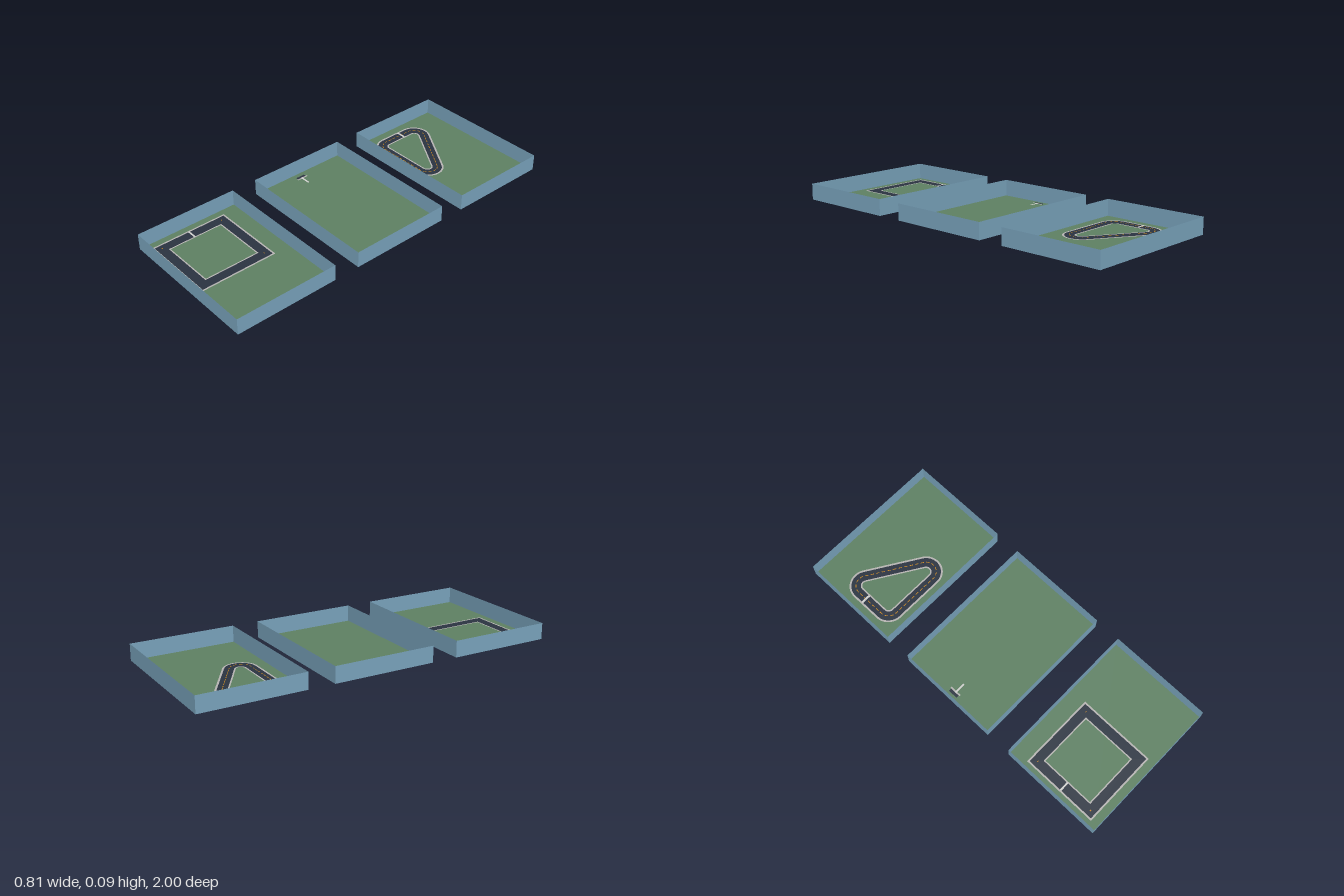
import * as THREE from 'three';

const mat = (name, color, side = THREE.FrontSide) => {
  const m = new THREE.MeshStandardMaterial({ color, side });
  m.name = name;
  return m;
};

export function createModel() {
  const root = new THREE.Group();
  const wallBlue = mat('wall blue', 0x7ba6bf, THREE.DoubleSide);
  const grass = mat('grass green', 0x5f8264, THREE.DoubleSide);
  const asphalt = mat('asphalt', 0x2b3442);
  const kerb = mat('kerb grey', 0xb8b6b4);
  const line = mat('start line white', 0xd2d2d0);
  const orange = mat('dash orange', 0xd08a1c);

  const W = 0.814, D = 0.57, H = 0.09;

  const add = (parent, name, geometry, material, x = 0, y = 0, z = 0) => {
    const mesh = new THREE.Mesh(geometry, material);
    mesh.name = name;
    mesh.position.set(x, y, z);
    parent.add(mesh);
    return mesh;
  };

  // Flat marking given by its x and z limits
  const patch = (parent, name, material, x0, x1, z0, z1, y) =>
    add(parent, name, new THREE.PlaneGeometry(x1 - x0, z1 - z0).rotateX(-Math.PI / 2),
      material, (x0 + x1) / 2, y, (z0 + z1) / 2);

  // Flat ring between two outlines, laid on the ground
  const ring = (parent, name, material, outer, inner, y) => {
    outer.holes.push(inner);
    add(parent, name, new THREE.ShapeGeometry(outer, 16).rotateX(-Math.PI / 2), material, 0, y, 0);
  };

  // Open tray: ground and four thin walls
  const tray = (name, z) => {
    const g = new THREE.Group();
    g.name = name;
    root.add(g);
    patch(g, 'ground', grass, -W / 2, W / 2, z - D / 2, z + D / 2, 0);
    for (const s of [-1, 1]) {
      add(g, s > 0 ? 'frontWall' : 'backWall', new THREE.PlaneGeometry(W, H)
        .rotateY(s > 0 ? 0 : Math.PI), wallBlue, 0, H / 2, z + s * D / 2);
      add(g, s > 0 ? 'leftWall' : 'rightWall', new THREE.PlaneGeometry(D, H)
        .rotateY(s * Math.PI / 2), wallBlue, s * W / 2, H / 2, z);
    }
    return g;
  };

  // Back tray: rounded triangular circuit, offset around three corner centres
  const back = tray('triangleTrackTray', -0.715);
  const centres = [[-0.267, 0.581], [0.008, 0.581], [-0.267, 0.752]];
  const rounded = (r) => {
    const s = new THREE.Shape();
    centres.forEach(([x, y], i) => {
      const p = centres[(i + 2) % 3], n = centres[(i + 1) % 3];
      const a0 = Math.atan2(y - p[1], x - p[0]) - Math.PI / 2;
      const a1 = Math.atan2(n[1] - y, n[0] - x) - Math.PI / 2;
      s.absarc(x, y, r, a0, a1, false);
    });
    s.closePath();
    return s;
  };
  ring(back, 'outerKerb', kerb, rounded(0.091), rounded(0.081), 0.003);
  ring(back, 'road', asphalt, rounded(0.081), rounded(0.031), 0.003);
  ring(back, 'innerKerb', kerb, rounded(0.031), rounded(0.023), 0.003);
  patch(back, 'startLine', line, -0.35, -0.297, -0.704, -0.692, 0.005);

  // Centre dashes follow the middle of the road
  const middle = rounded(0.056);
  const count = Math.round(middle.getLength() / 0.03);
  for (let i = 0; i < count; i++) {
    const p = middle.getPointAt(i / count), t = middle.getTangentAt(i / count);
    const dash = add(back, 'centreDash', new THREE.PlaneGeometry(0.019, 0.004).rotateX(-Math.PI / 2),
      orange, p.x, 0.005, -p.y);
    dash.rotation.y = Math.atan2(t.y, t.x);
  }

  // Middle tray: short start piece
  const mid = tray('startPieceTray', 0);
  patch(mid, 'roadPiece', asphalt, -0.378, -0.362, -0.02, 0.034, 0.003);
  patch(mid, 'kerbPiece', kerb, -0.362, -0.353, -0.027, 0.04, 0.004);
  patch(mid, 'startLine', line, -0.362, -0.3, 0.005, 0.015, 0.005);

  // Front tray: square circuit
  const front = tray('squareTrackTray', 0.715);
  const square = (half) => {
    const cx = -0.152, cy = -0.738;
    return new THREE.Shape([[-1, -1], [1, -1], [1, 1], [-1, 1]]
      .map(([a, b]) => new THREE.Vector2(cx + a * half, cy + b * half)));
  };
  ring(front, 'outerKerb', kerb, square(0.216), square(0.207), 0.003);
  ring(front, 'road', asphalt, square(0.207), square(0.157), 0.003);
  ring(front, 'innerKerb', kerb, square(0.157), square(0.15), 0.003);
  patch(front, 'startLine', line, -0.36, -0.307, 0.738, 0.748, 0.005);
  for (const [x, z] of [[-0.332, 0.918], [-0.332, 0.562], [0.026, 0.562]]) {
    patch(front, 'cornerDot', orange, x - 0.004, x + 0.004, z - 0.002, z + 0.002, 0.005);
  }

  return root;
}
